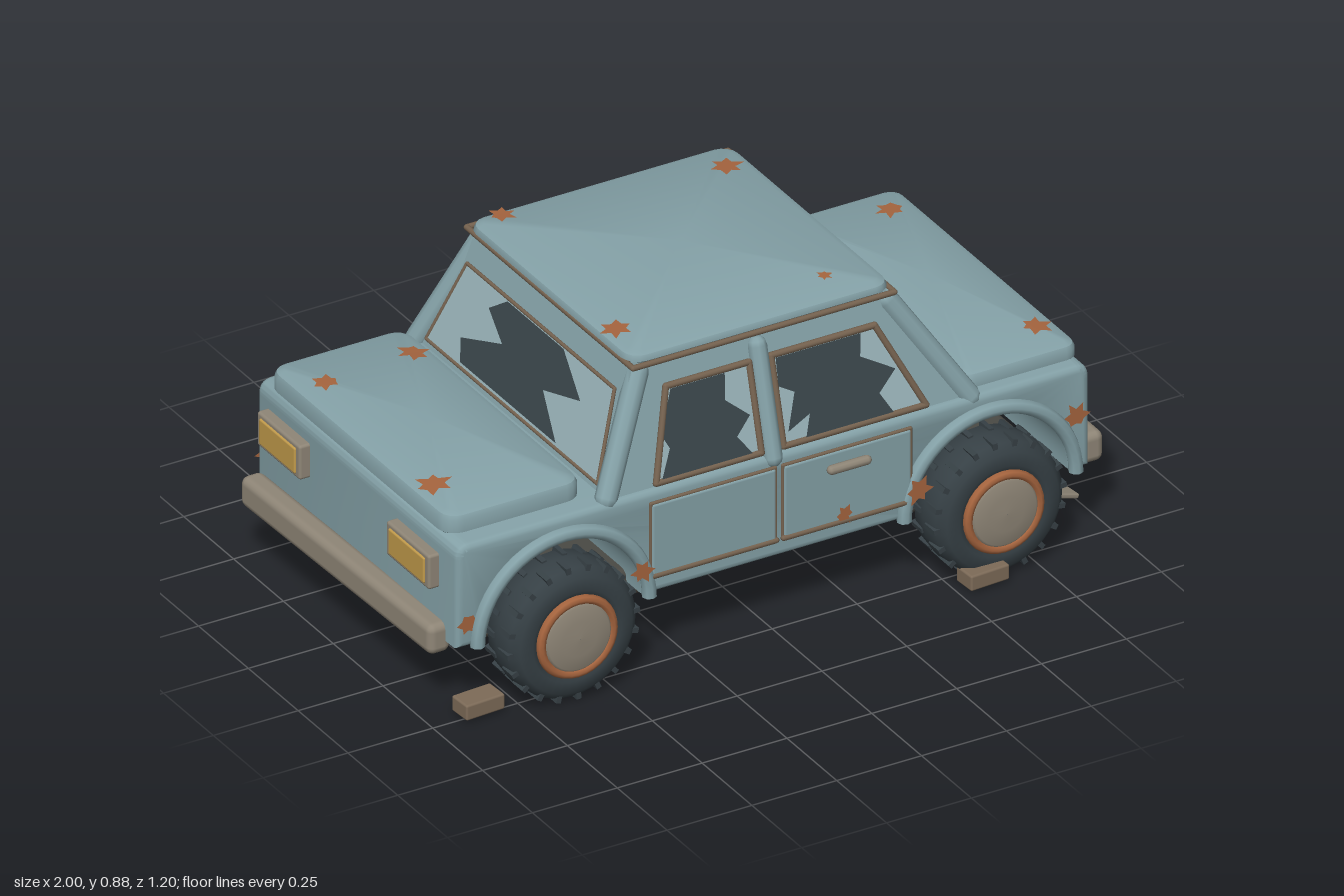
import * as THREE from 'three';
import { toCreasedNormals } from 'three/addons/utils/BufferGeometryUtils.js';
import { RoundedBoxGeometry } from 'three/addons/geometries/RoundedBoxGeometry.js';

const paint = (name, color, side = THREE.FrontSide) => {
  const m = new THREE.MeshStandardMaterial({ color, side });
  m.name = name;
  return m;
};

export function createModel() {
  const car = new THREE.Group();
  car.name = 'oldCar';
  const body = paint('fadedBluePaint', 0x84a1a7);
  const glass = paint('paleGlass', 0x98b2b7, THREE.DoubleSide);
  const hole = paint('brokenGlassDark', 0x3a454a, THREE.DoubleSide);
  const tan = paint('dullMetal', 0x8f8677);
  const trim = paint('brownTrim', 0x75624f);
  const brick = paint('brickBrown', 0x7d6b58);
  const rust = paint('rust', 0xa5643e, THREE.DoubleSide);
  const rubber = paint('rubber', 0x364045);
  const lamp = paint('amberLamp', 0xc29b4b);
  const under = paint('underbody', 0x4a4944);

  const add = (name, geo, mat, parent = car) => {
    const m = new THREE.Mesh(geo, mat);
    m.name = name;
    parent.add(m);
    return m;
  };
  // rounded block from centre and size
  const block = (name, mat, c, s, r = 0.01, parent = car) => {
    const m = add(name, new RoundedBoxGeometry(s[0], s[1], s[2], 2, r), mat, parent);
    m.position.set(...c);
    return m;
  };
  // round-ended rod between two points
  const rod = (name, mat, a, b, r) => {
    const d = b.clone().sub(a), len = d.length();
    const m = add(name, new THREE.CapsuleGeometry(r, len, 3, 10), mat);
    m.position.copy(a).addScaledVector(d, 0.5);
    m.quaternion.setFromUnitVectors(new THREE.Vector3(0, 1, 0), d.normalize());
  };
  const loop = (name, mat, pts, r) => pts.forEach((p, i) => rod(name, mat, p, pts[(i + 1) % pts.length], r));
  // flat outline laid onto a surface given by map(u, v)
  const plate = (name, mat, pts, map) => {
    const g = new THREE.ShapeGeometry(new THREE.Shape(pts.map(p => new THREE.Vector2(p[0], p[1]))));
    const pos = g.attributes.position;
    for (let i = 0; i < pos.count; i++) {
      const q = map(pos.getX(i), pos.getY(i));
      pos.setXYZ(i, q.x, q.y, q.z);
    }
    g.computeVertexNormals();
    return add(name, g, mat);
  };
  const V = (x, y, z) => new THREE.Vector3(x, y, z);

  // lower body with wheel arches cut out
  const axles = [-0.62, 0.637], base = 0.21;
  const s = new THREE.Shape();
  s.moveTo(-0.93, base);
  for (const x of axles) {
    s.lineTo(x - 0.24, base);
    s.absarc(x, base, 0.24, Math.PI, 0, true);
  }
  s.lineTo(0.935, base);
  s.lineTo(0.935, 0.47);
  s.quadraticCurveTo(0.935, 0.51, 0.895, 0.51);
  s.lineTo(-0.89, 0.51);
  s.quadraticCurveTo(-0.93, 0.51, -0.93, 0.47);
  const lower = new THREE.ExtrudeGeometry(s, { depth: 0.97, curveSegments: 20, bevelSize: 0.018, bevelThickness: 0.018, bevelOffset: -0.018, bevelSegments: 3 });
  add('lowerBody', toCreasedNormals(lower.translate(0, 0, -0.485), 0.7), body);
  block('underbody', under, [0.005, 0.2, 0], [1.69, 0.085, 0.83], 0.02);

  // cabin: box tapered towards the roof
  const sideZ = y => 0.488 - 0.27 * (y - 0.5);
  const endX = (e, y) => e > 0 ? 0.58 - 0.56 * (y - 0.5) : -0.48 + 0.38 * (y - 0.5);
  const cabin = new THREE.BoxGeometry(1, 1, 1), cp = cabin.attributes.position;
  for (let i = 0; i < cp.count; i++) {
    const y = cp.getY(i) > 0 ? 0.835 : 0.49;
    cp.setXYZ(i, endX(Math.sign(cp.getX(i)), y), y, Math.sign(cp.getZ(i)) * sideZ(y));
  }
  cabin.computeVertexNormals();
  add('cabin', cabin, body);

  // domed lid: rounded rectangle rings closed by a centre point; returns its height rule
  const lid = (name, x0, x1, z0, z1, r, y0, y1, peak) => {
    const cx = (x0 + x1) / 2, cz = (z0 + z1) / 2, hx = (x1 - x0) / 2, hz = (z1 - z0) / 2;
    const rings = [[0.012, y0], [0, y0 + 0.01], [0, y1 - 0.02], [0.006, y1 - 0.008], [0.025, y1]];
    const v = [], idx = [], n = 20;
    for (const [inset, y] of rings) {
      for (let k = 0; k < n; k++) {
        const q = Math.floor(k / 5), a = (q + (k % 5) / 4) * Math.PI / 2;
        const sx = q === 0 || q === 3 ? 1 : -1, sz = q < 2 ? 1 : -1, rr = r - inset;
        v.push(cx + sx * (hx - r) + rr * Math.cos(a), y, cz + sz * (hz - r) + rr * Math.sin(a));
      }
    }
    v.push(cx, peak, cz);
    for (let k = 0; k < n; k++) {
      const k2 = (k + 1) % n;
      for (let j = 0; j < rings.length - 1; j++) {
        const a = j * n + k, b = j * n + k2;
        idx.push(a, a + n, b, b, a + n, b + n);
      }
      const top = (rings.length - 1) * n;
      idx.push(top + k, rings.length * n, top + k2);
    }
    const g = new THREE.BufferGeometry();
    g.setAttribute('position', new THREE.Float32BufferAttribute(v, 3));
    g.setIndex(idx);
    add(name, toCreasedNormals(g, 0.6), body);
    return (x, z) => peak - (peak - y1) * Math.min(1, Math.max(Math.abs(x - cx) / (hx - 0.025), Math.abs(z - cz) / (hz - 0.025)));
  };
  const roofY = lid('roof', -0.365, 0.412, -0.415, 0.41, 0.05, 0.825, 0.858, 0.885);
  const rearY = lid('rearLid', -0.922, -0.518, -0.465, 0.44, 0.05, 0.5, 0.565, 0.588);
  const frontY = lid('frontLid', 0.585, 0.932, -0.465, 0.46, 0.04, 0.5, 0.553, 0.573);
  loop('roofTrim', trim, [V(-0.36, 0.828, -0.42), V(0.41, 0.828, -0.42), V(0.41, 0.828, 0.415), V(-0.36, 0.828, 0.415)], 0.008);

  // front and rear screens with jagged holes
  const screenHole = [[0.126, 0.752], [0.26, 0.674], [0.1, 0.632], [0.22, 0.545], [-0.26, 0.545], [-0.29, 0.597], [-0.12, 0.655], [-0.22, 0.706], [-0.155, 0.752]];
  for (const e of [1, -1]) {
    const on = off => (z, y) => V(endX(e, y) + e * off, y, z);
    const outline = [[-0.43, 0.53], [0.43, 0.53], [0.37, 0.755], [-0.37, 0.755]];
    const name = e > 0 ? 'frontScreen' : 'rearScreen';
    plate(name, glass, outline, on(0.006));
    plate(name + 'Hole', hole, screenHole, on(0.011));
    loop(name + 'Frame', trim, outline.map(p => on(0.005)(...p)), 0.005);
  }

  // side windows, pillars, doors
  const windows = [
    { outline: [[-0.335, 0.52], [-0.025, 0.52], [-0.025, 0.755], [-0.27, 0.755]],
      gap: [[-0.26, 0.748], [-0.1, 0.748], [-0.11, 0.68], [-0.045, 0.625], [-0.09, 0.58], [-0.05, 0.525], [-0.32, 0.525], [-0.285, 0.6], [-0.305, 0.64]] },
    { outline: [[0.04, 0.52], [0.46, 0.52], [0.345, 0.755], [0.04, 0.755]],
      gap: [[0.05, 0.748], [0.3, 0.748], [0.29, 0.69], [0.385, 0.635], [0.33, 0.585], [0.365, 0.525], [0.105, 0.525], [0.125, 0.585], [0.057, 0.555], [0.09, 0.65], [0.047, 0.675]] },
  ];
  for (const e of [1, -1]) {
    const on = off => (x, y) => V(x, y, e * (sideZ(y) + off));
    for (const w of windows) {
      plate('sideWindow', glass, w.outline, on(0.006));
      plate('sideWindowHole', hole, w.gap, on(0.011));
      loop('windowFrame', trim, w.outline.map(p => on(0.006)(...p)), 0.009);
    }
    rod('frontPillar', body, V(0.595, 0.5, e * 0.475), V(0.4, 0.8, e * 0.392), 0.03);
    rod('rearPillar', body, V(-0.475, 0.51, e * 0.475), V(-0.335, 0.8, e * 0.392), 0.03);
    rod('middlePillar', body, on(0.004)(0.006, 0.5), on(0.004)(0.006, 0.79), 0.026);
    for (const [x0, x1] of [[-0.365, 0.002], [0.024, 0.4]]) {
      block('door', body, [(x0 + x1) / 2, 0.375, e * 0.505], [x1 - x0, 0.21, 0.03], 0.008);
      loop('doorSeam', trim, [V(x0, 0.48, e * 0.512), V(x1, 0.48, e * 0.512), V(x1, 0.27, e * 0.512), V(x0, 0.27, e * 0.512)], 0.005);
      rod('doorTrim', trim, V(x0, 0.27, e * 0.517), V(x1, 0.27, e * 0.517), 0.008);
    }
    rod('doorHandle', tan, V(0.155, 0.44, e * 0.535), V(0.258, 0.44, e * 0.535), 0.013);

    // arch lips and wheels
    for (const x of axles) {
      const arch = add('wheelArch', new THREE.TorusGeometry(0.253, 0.02, 8, 28, Math.PI), body);
      arch.position.set(x, base, e * 0.508);
      const wheel = new THREE.Group();
      wheel.name = 'wheel';
      wheel.position.set(x, 0.198, e * 0.5);
      if (e < 0) wheel.rotation.y = Math.PI;
      car.add(wheel);
      const lathe = pts => new THREE.LatheGeometry(pts.map(p => new THREE.Vector2(...p)), 40).rotateX(Math.PI / 2);
      add('tyre', lathe([[0.1, -0.065], [0.13, -0.077], [0.165, -0.073], [0.187, -0.052], [0.193, 0], [0.187, 0.052], [0.165, 0.073], [0.13, 0.077], [0.1, 0.065], [0.1, -0.065]]), rubber, wheel);
      for (let i = 0; i < 20; i++) {
        const a = i * Math.PI / 10;
        for (const k of [1, -1]) {
          const t = a + k * 0.08;
          const lug = add('treadLug', new THREE.BoxGeometry(0.03, 0.014, 0.05), rubber, wheel);
          lug.position.set(Math.cos(t) * 0.181, Math.sin(t) * 0.181, k * 0.036);
          lug.rotation.z = t;
        }
      }
      add('rustyRim', new THREE.TorusGeometry(0.106, 0.013, 8, 32), rust, wheel).position.z = 0.076;
      add('hubCap', lathe([[0.1, 0.05], [0.1, 0.08], [0.09, 0.088], [0.05, 0.093], [0.001, 0.095]]), tan, wheel);
    }
  }

  // bumpers and lamps
  block('frontBumper', tan, [0.965, 0.233, -0.005], [0.068, 0.088, 0.95], 0.022);
  block('rearBumper', tan, [-0.955, 0.217, -0.015], [0.068, 0.088, 0.92], 0.022).rotation.y = 0.025;
  for (const z of [0.32, -0.325]) {
    block('frontLampHousing', trim, [0.935, 0.415, z], [0.026, 0.092, 0.166], 0.006);
    block('frontLamp', lamp, [0.942, 0.415, z], [0.022, 0.082, 0.156], 0.005);
  }
  for (const z of [0.305, -0.343]) {
    block('rearLampHousing', tan, [-0.942, 0.4, z], [0.038, 0.1, 0.215], 0.008);
    block('rearLamp', lamp, [-0.955, 0.4, z], [0.022, 0.075, 0.18], 0.005);
  }

  // rust patches
  let seed = 7;
  const rand = () => (seed = (seed * 16807) % 2147483647) / 2147483647;
  const splat = (cx, cy, r) => Array.from({ length: 12 }, (_, i) => {
    const a = i * Math.PI / 6, k = r * (i % 2 ? 0.45 + 0.2 * rand() : 0.75 + 0.4 * rand());
    return [cx + k * Math.cos(a), cy + k * Math.sin(a)];
  });
  const topRust = [[rearY, -0.845, -0.3, 0.04], [rearY, -0.575, -0.32, 0.045], [rearY, -0.87, 0.28, 0.05],
    [roofY, -0.28, -0.38, 0.04], [roofY, 0.335, -0.3, 0.048], [roofY, -0.325, 0.27, 0.045], [roofY, 0.265, 0.31, 0.022],
    [frontY, 0.85, -0.355, 0.045], [frontY, 0.868, 0.34, 0.045]];
  for (const [h, x, z, r] of topRust) plate('topRust', rust, splat(x, z, r), (u, v) => V(u, h(u, v) + 0.004, v));
  const sideRust = [[0.892, 0.37, 0.04, 0.507], [-0.898, 0.28, 0.035, 0.507], [0.2, 0.29, 0.03, 0.523], [0.415, 0.3, 0.04, 0.53], [-0.4, 0.3, 0.035, 0.53]];
  for (const e of [1, -1]) for (const [x, y, r, z] of sideRust) plate('sideRust', rust, splat(x, y, r), (u, v) => V(u, v, e * z));

  // loose bricks and a leaning plate on the ground
  for (const [x, z] of [[-0.86, 0.49], [0.58, 0.57], [0.882, -0.525]]) block('brick', brick, [x, 0.033, z], [0.118, 0.045, 0.07], 0.006).rotation.y = 0.06;
  block('fallenPlate', tan, [0.88, 0.073, 0.3], [0.19, 0.014, 0.17], 0.005).rotation.set(0, 0.12, -0.33);
  return car;
}
